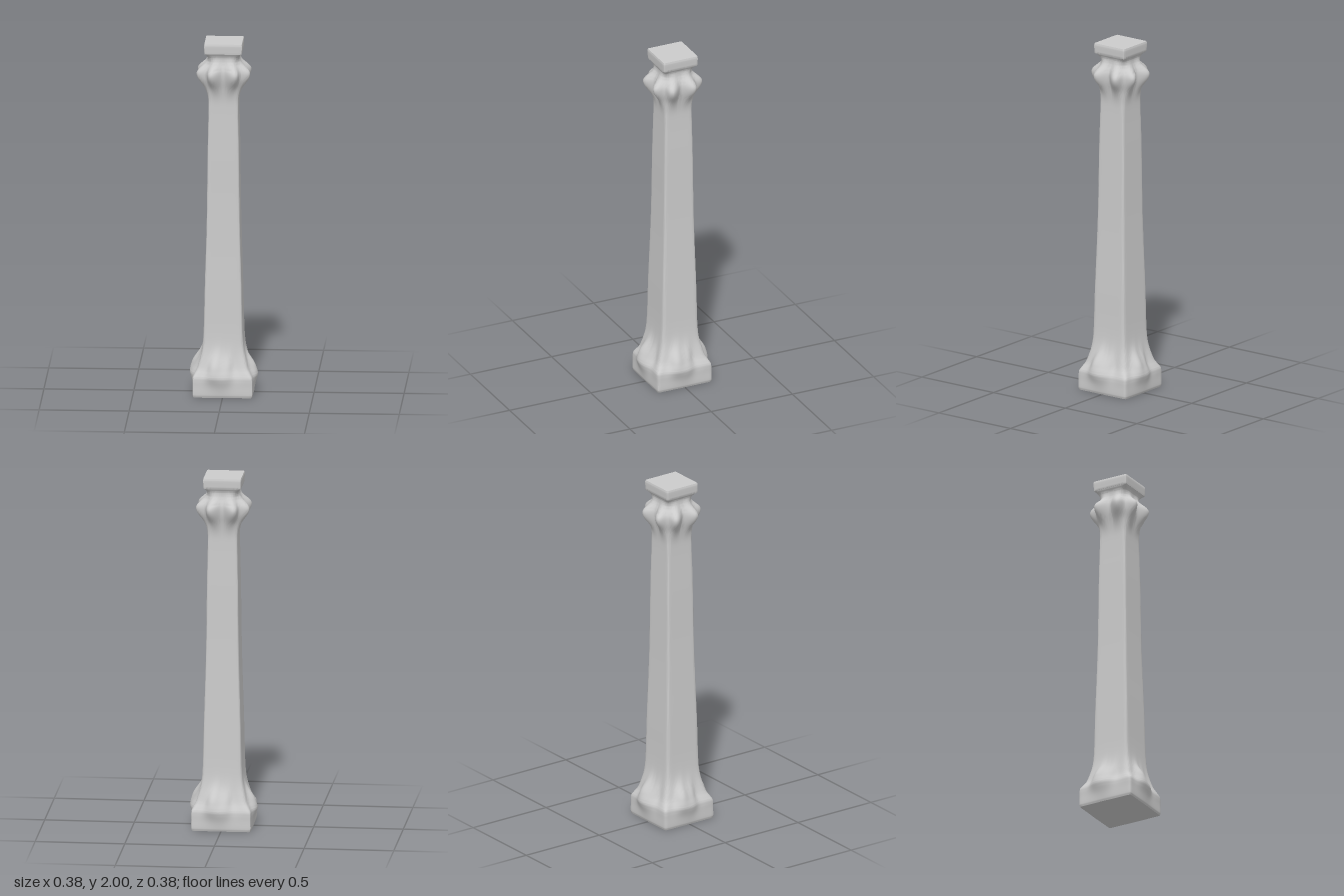
import * as THREE from 'three';
import { toCreasedNormals } from 'three/addons/utils/BufferGeometryUtils.js';

const SIDE = 32, COUNT = SIDE * 4;

// [height, half width, squareness] from floor to top
const PROFILE = [
  [0, 0.163, 40], [0.008, 0.166, 40], [0.06, 0.166, 40], [0.105, 0.165, 30],
  [0.13, 0.155, 16], [0.16, 0.141, 9], [0.2, 0.13, 8], [0.25, 0.119, 10],
  [0.32, 0.111, 14], [0.6, 0.103, 20], [1, 0.092, 20], [1.4, 0.087, 20],
  [1.62, 0.083, 16], [1.68, 0.084, 10], [1.74, 0.091, 5], [1.8, 0.1, 3.2],
  [1.85, 0.1, 3], [1.89, 0.089, 3.5], [1.915, 0.088, 6], [1.94, 0.1, 18],
  [1.955, 0.105, 40], [1.992, 0.106, 40], [2, 0.104, 40],
];

const bell = (d, s) => Math.exp(-0.5 * (d / s) ** 2);
const lopsided = (d, below, above) => bell(d, d < 0 ? below : above);
const wrap = (a) => Math.atan2(Math.sin(a), Math.cos(a));

// Eight buds round the capital, a pair to each face
function budBulge(a, y) {
  const rise = lopsided(y - 1.825, 0.052, 0.036);
  let sum = 0;
  for (let k = 0; k < 4; k++) {
    for (const s of [-1, 1]) {
      sum += bell(wrap(a - k * Math.PI / 2 - s * 0.44), 0.19);
    }
  }
  return 0.056 * rise * sum;
}

// One swelling a little off the middle of each base face, with soft folds
function baseBulge(a, y) {
  let sum = 0;
  for (let k = 0; k < 4; k++) {
    const d = wrap(a - k * Math.PI / 2 - 0.16);
    sum += bell(d - (y - 0.14) * 0.8, 0.25);
  }
  const folds = 0.005 * Math.cos(12 * a + 1 + 9 * y) * bell(y - 0.17, 0.05);
  return 0.039 * sum * lopsided(y - 0.155, 0.06, 0.05) + folds;
}

// Rounded square section, swollen by the carving
function ringPoint(i, [y, half, power]) {
  const side = Math.floor(i / SIDE);
  const t = (i % SIDE) / SIDE * 2 - 1;
  const a = side * Math.PI / 2 + Math.atan(t);
  const c = Math.cos(a), s = Math.sin(a);
  const square = half / (Math.abs(c) ** power + Math.abs(s) ** power) ** (1 / power);
  const r = square + budBulge(a, y) + baseBulge(a, y);
  return [r * c, y, r * s - 0.002 * y];
}

function columnGeometry() {
  const curve = new THREE.CatmullRomCurve3(
    PROFILE.map(([y, h, p]) => new THREE.Vector3(y, h, p / 100)), false, 'centripetal');
  const rings = curve.getPoints((PROFILE.length - 1) * 5)
    .map((v) => [THREE.MathUtils.clamp(v.x, 0, 2), v.y, Math.max(2, v.z * 100)]);
  const pos = [], index = [];
  for (const ring of rings) {
    for (let i = 0; i < COUNT; i++) pos.push(...ringPoint(i, ring));
  }
  for (let j = 0; j < rings.length - 1; j++) {
    for (let i = 0; i < COUNT; i++) {
      const n = (i + 1) % COUNT;
      const a = j * COUNT + i, b = j * COUNT + n;
      index.push(a, a + COUNT, b, b, a + COUNT, b + COUNT);
    }
  }
  // Flat underside and top
  const last = (rings.length - 1) * COUNT, centre = rings.length * COUNT;
  pos.push(0, 0, 0, 0, 2, -0.004);
  for (let i = 0; i < COUNT; i++) {
    const n = (i + 1) % COUNT;
    index.push(centre, i, n, centre + 1, last + n, last + i);
  }
  const g = new THREE.BufferGeometry();
  g.setAttribute('position', new THREE.Float32BufferAttribute(pos, 3));
  g.setIndex(index);
  return toCreasedNormals(g, 0.7);
}

export function createModel() {
  const group = new THREE.Group();
  group.name = 'carvedColumn';
  const column = new THREE.Mesh(columnGeometry(),
    new THREE.MeshStandardMaterial({ color: 0xcccccc }));
  column.name = 'columnWithBaseAndCapital';
  group.add(column);
  return group;
}
